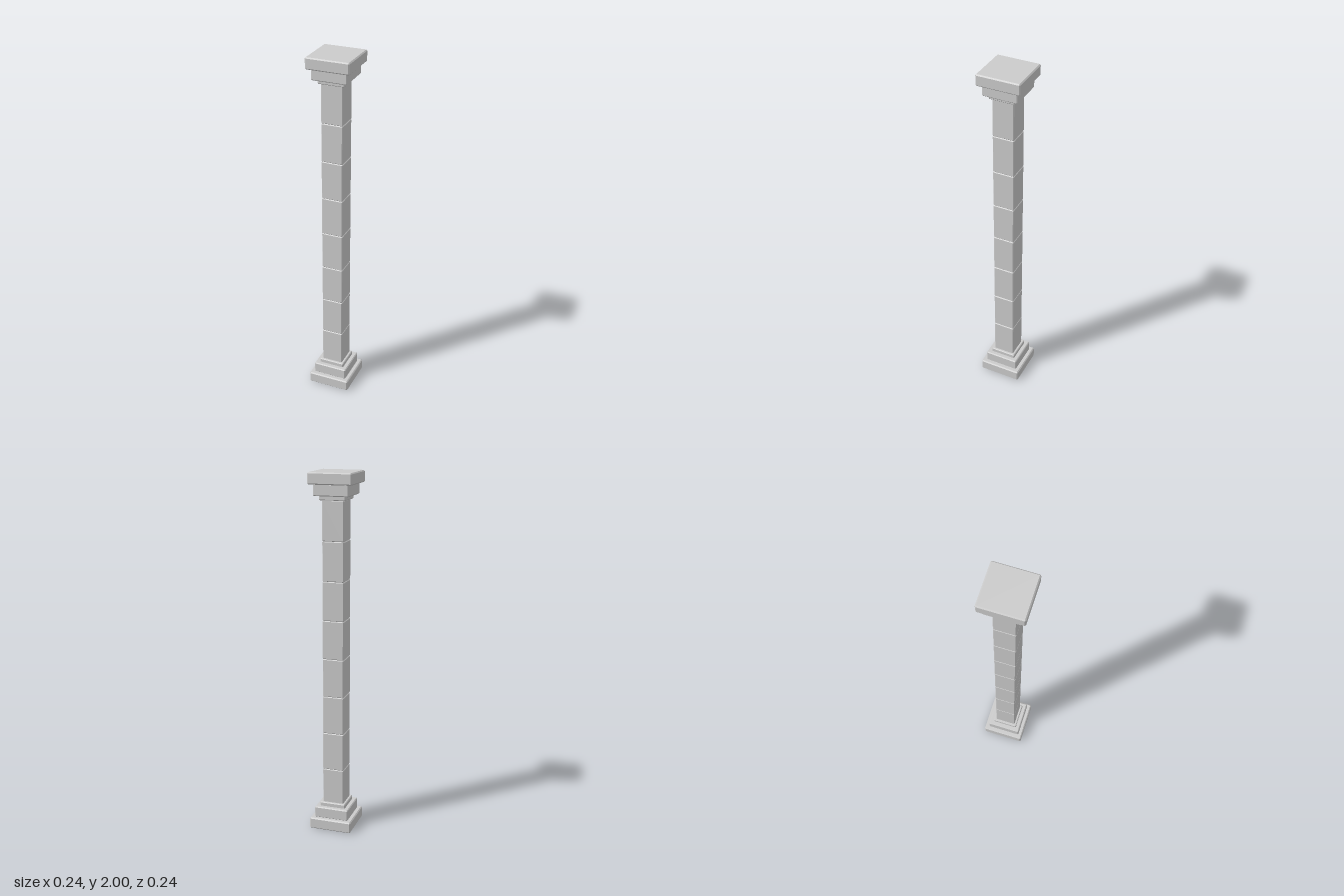
import * as THREE from 'three';
import { ConvexGeometry } from 'three/addons/geometries/ConvexGeometry.js';

const stone = new THREE.MeshStandardMaterial({ color: 0xcccccc, flatShading: true });

// Square block from y0 to y1 with every edge chamfered by b
function block(name, half, y0, y1, b) {
  const hy = (y1 - y0) / 2;
  const points = [];
  for (const sx of [-1, 1]) for (const sy of [-1, 1]) for (const sz of [-1, 1]) {
    points.push(
      new THREE.Vector3(sx * half, sy * (hy - b), sz * (half - b)),
      new THREE.Vector3(sx * (half - b), sy * hy, sz * (half - b)),
      new THREE.Vector3(sx * (half - b), sy * (hy - b), sz * half)
    );
  }
  const mesh = new THREE.Mesh(new ConvexGeometry(points), stone);
  mesh.name = name;
  mesh.position.y = (y0 + y1) / 2;
  return mesh;
}

export function createModel() {
  const pillar = new THREE.Group();
  pillar.name = 'pillar';

  // Stepped base
  const base = new THREE.Group();
  base.name = 'base';
  base.add(
    block('basePlinth', 0.12, 0, 0.064, 0.006),
    block('baseStep', 0.097, 0.062, 0.126, 0.005),
    block('baseNeck', 0.073, 0.122, 0.149, 0.004)
  );

  // Shaft of eight stacked blocks, chamfers forming the joints
  const shaft = new THREE.Group();
  shaft.name = 'shaft';
  const count = 8, bottom = 0.134, top = 1.854;
  const pitch = (top - bottom) / count;
  for (let i = 0; i < count; i++) {
    shaft.add(block('shaftBlock' + (i + 1), 0.06, bottom + i * pitch, bottom + (i + 1) * pitch, 0.004));
  }

  // Stepped capital
  const capital = new THREE.Group();
  capital.name = 'capital';
  capital.add(
    block('capitalNeck', 0.073, 1.854, 1.881, 0.004),
    block('capitalStep', 0.097, 1.877, 1.94, 0.005),
    block('capitalSlab', 0.12, 1.937, 2, 0.006)
  );

  pillar.add(base, shaft, capital);
  return pillar;
}
